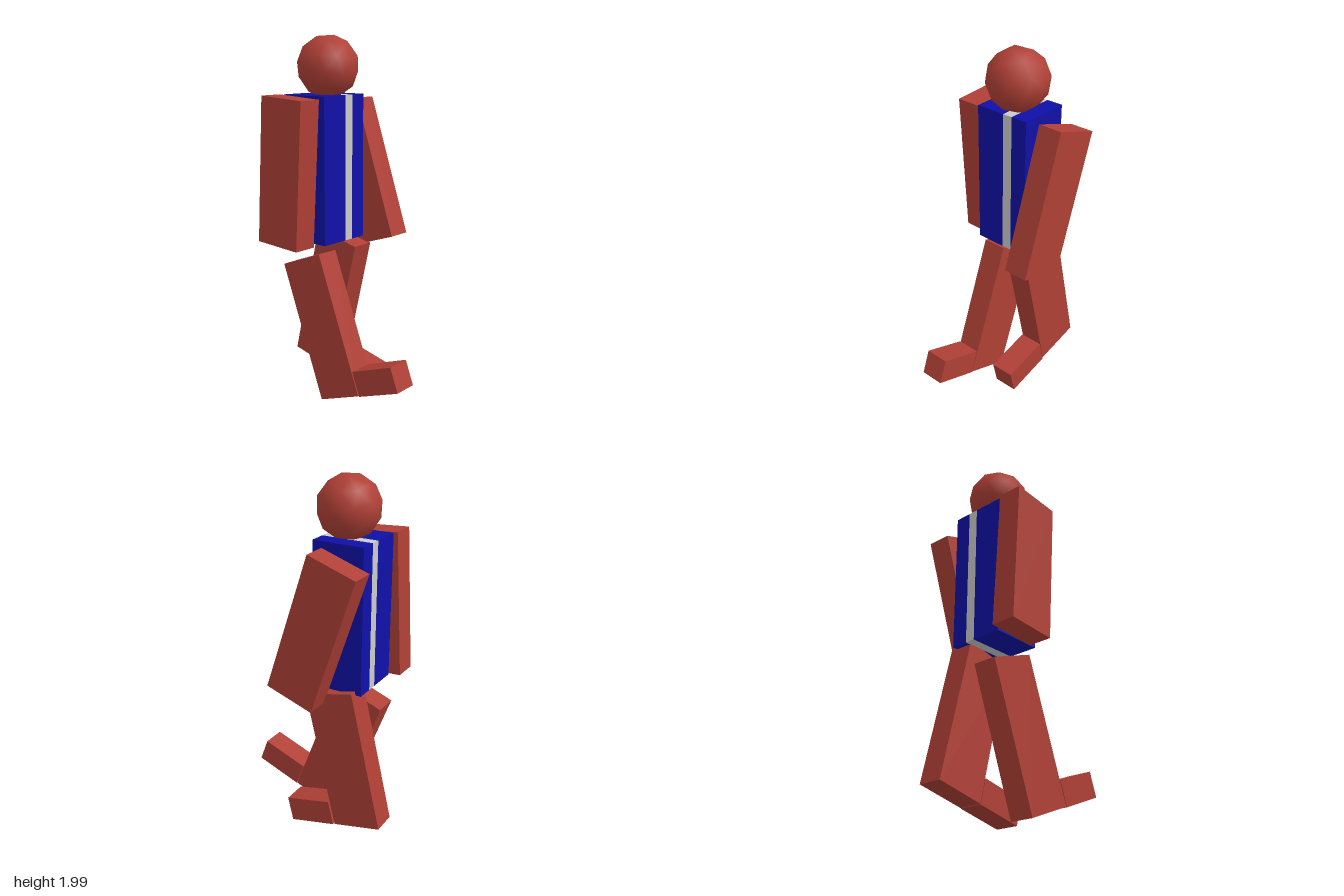
import * as THREE from 'three';

const skin = new THREE.MeshStandardMaterial({ color: 0xb04036 });
const blue = new THREE.MeshStandardMaterial({ color: 0x1010a8 });
const grey = new THREE.MeshStandardMaterial({ color: 0xcccccc });

export function createModel() {
  const model = new THREE.Group();
  model.name = 'walkingFigure';

  // A box given by size and centre, swung by some degrees about z
  function block(name, material, [w, h, d], [x, y, z], degrees = 0) {
    const mesh = new THREE.Mesh(new THREE.BoxGeometry(w, h, d), material);
    mesh.name = name;
    mesh.position.set(x, y, z);
    mesh.rotation.z = THREE.MathUtils.degToRad(degrees);
    model.add(mesh);
  }

  // Head: low-poly ball with smooth normals
  const head = new THREE.Mesh(new THREE.IcosahedronGeometry(0.169, 1), skin);
  head.name = 'head';
  head.position.set(-0.147, 1.836, 0);
  head.rotation.z = THREE.MathUtils.degToRad(-46.7);
  model.add(head);

  // Torso: two blue slabs with a grey slab between them
  const slabs = [
    ['torsoRight', blue, 0.164, -0.005],
    ['torsoStripe', grey, -0.005, -0.061],
    ['torsoLeft', blue, -0.061, -0.154],
  ];
  for (const [name, material, z0, z1] of slabs) {
    block(name, material, [0.286, 0.79, z0 - z1], [-0.172, 1.295, (z0 + z1) / 2]);
  }

  // Arms and legs share one size; feet are short blocks ahead of the legs
  const limb = [0.281, 0.79, 0.136];
  const foot = [0.273, 0.139, 0.136];
  block('rightArm', skin, limb, [-0.212, 1.288, 0.25], -3.4);
  block('leftArm', skin, limb, [-0.105, 1.246, -0.251], 18.5);
  block('rightLeg', skin, limb, [-0.069, 0.426, 0.096], 20.5);
  block('rightFoot', skin, foot, [0.311, 0.217, 0.096], 20.5);
  block('leftLeg', skin, limb, [-0.234, 0.504, -0.126], -13.3);
  block('leftFoot', skin, foot, [-0.031, 0.122, -0.131], -13.3);

  return model;
}
